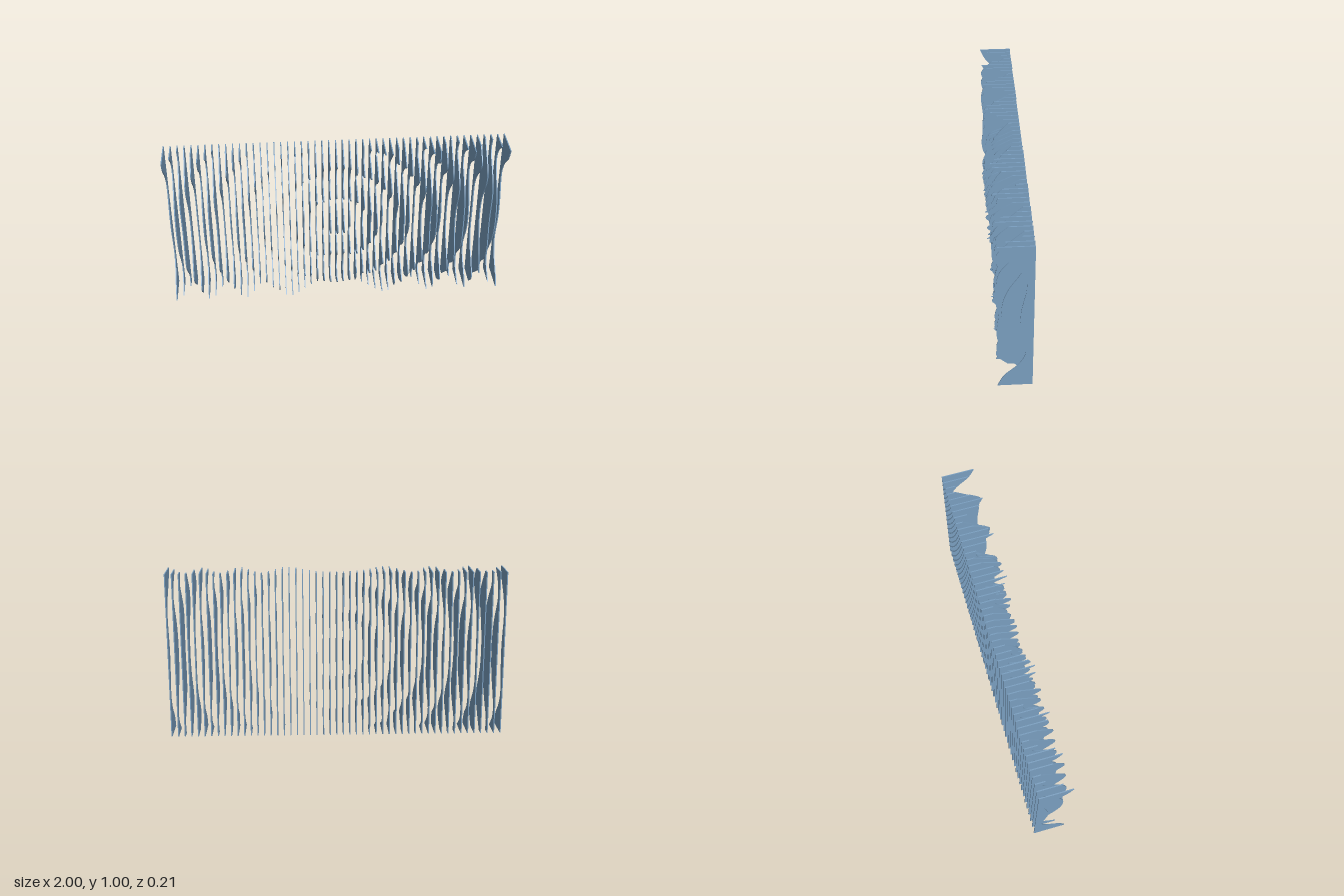
import * as THREE from 'three';
import { toCreasedNormals } from 'three/addons/utils/BufferGeometryUtils.js';

const FINS = 51;          // vertical fins along x
const THICK = 0.006;      // fin thickness
const BACK = -0.105;      // straight rear edge
const STEPS = 13;         // spline spans up each fin
const WAVELENGTH = 0.178; // ripple spacing

// Depth of the front edge: circular ripples around the wall's middle
function rippleDepth(x, y) {
  const r = Math.hypot(x, y - 0.5);
  return 0.0125 + 0.0775 * Math.sin((2 * Math.PI * r) / WAVELENGTH);
}

// One fin: straight back, smooth spline front, extruded along x
function finGeometry(x) {
  const front = [];
  for (let i = 0; i <= STEPS; i++) {
    const y = i / STEPS;
    front.push(new THREE.Vector2(rippleDepth(x, y), y));
  }
  const shape = new THREE.Shape();
  shape.moveTo(BACK, 0);
  shape.lineTo(front[0].x, 0);
  shape.splineThru(front.slice(1));
  shape.lineTo(BACK, 1);
  shape.closePath();
  const geo = new THREE.ExtrudeGeometry(shape, { depth: THICK, bevelEnabled: false, curveSegments: 8 });
  geo.rotateY(-Math.PI / 2); // shape x becomes z, extrusion runs along -x
  geo.translate(x + THICK / 2, 0, 0);
  return toCreasedNormals(geo, Math.PI / 5);
}

export function createModel() {
  const group = new THREE.Group();
  group.name = 'rippleFinWall';
  const material = new THREE.MeshStandardMaterial({ color: 0x7a9fc0 });
  const span = 2 - THICK;
  for (let i = 0; i < FINS; i++) {
    const x = -span / 2 + (span * i) / (FINS - 1);
    const fin = new THREE.Mesh(finGeometry(x), material);
    fin.name = `fin${i + 1}`;
    group.add(fin);
  }
  return group;
}
